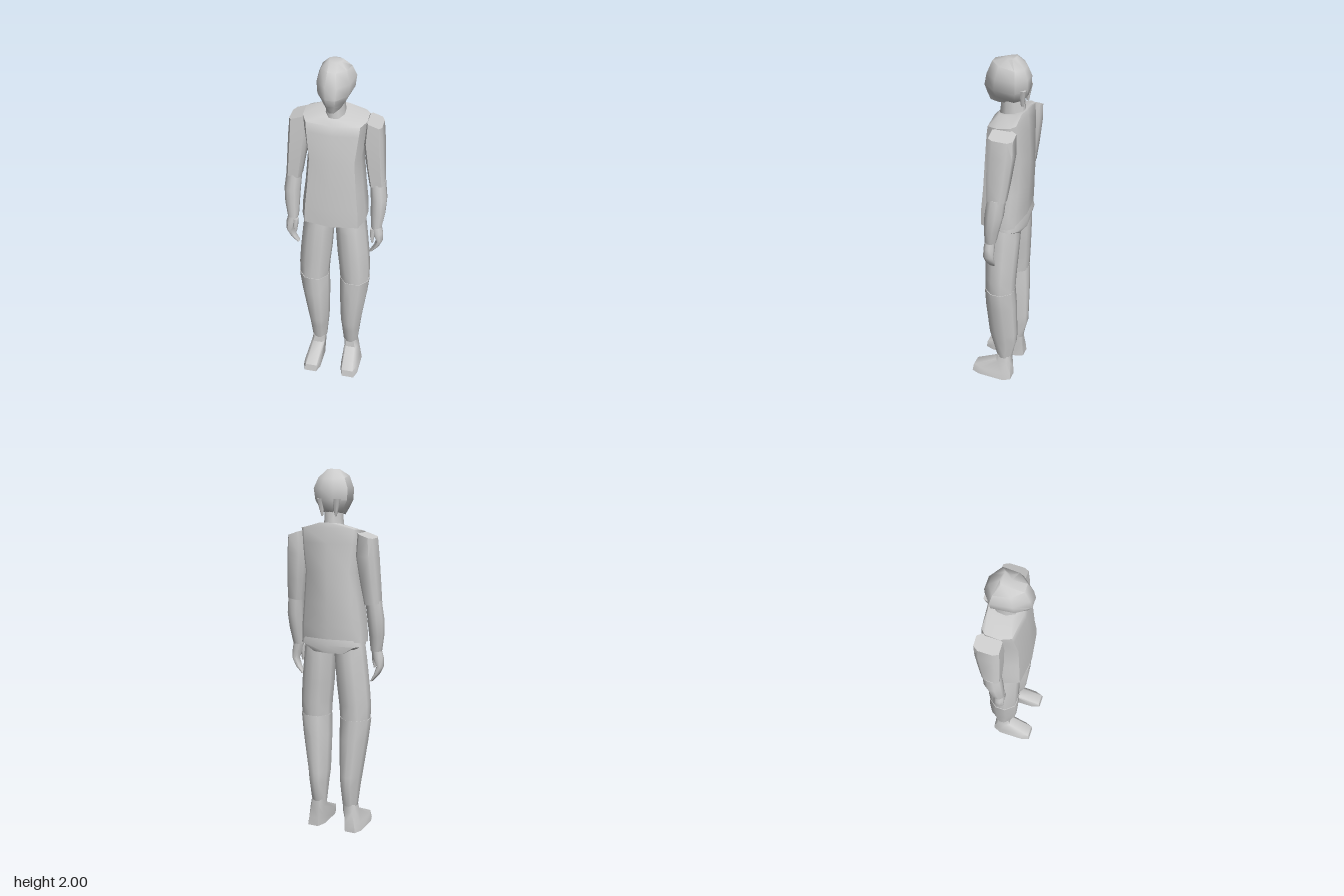
import * as THREE from 'three';
import { toCreasedNormals } from 'three/addons/utils/BufferGeometryUtils.js';

// Unit outlines [x, z], going round from +x towards +z
const LIMB = [[1, -0.35], [1, 0.35], [0.5, 0.95], [0, 1], [-0.5, 0.95], [-1, 0.35], [-1, -0.35], [-0.5, -0.95], [0, -1], [0.5, -0.95]];
const BLOCK = [[1, -0.6], [1, 0.6], [0.7, 1], [-0.7, 1], [-1, 0.6], [-1, -0.6], [-0.6, -1], [0.6, -1]];
const SKULL = [[1, -0.6], [0.87, 0.4], [0.3, 1], [-0.3, 1], [-0.87, 0.4], [-1, -0.6], [-0.35, -1], [0.35, -1]];
const TRUNK = [[1, -0.6], [1, 0.2], [0.84, 0.82], [0, 1], [-0.84, 0.82], [-1, 0.2], [-1, -0.6], [-0.85, -0.86], [0, -1], [0.85, -0.86]];

// Skin over rings listed from top to bottom: [y, xMin, xMax, zBack, zFront, tiltZ, tiltX]
function loft(outline, rings, side = 1) {
  const n = outline.length, pos = [], idx = [];
  const tri = (a, b, c) => (side > 0 ? idx.push(a, b, c) : idx.push(a, c, b));
  for (const [y, x0, x1, z0, z1, tz = 0, tx = 0] of rings) {
    for (const [u, v] of outline) {
      pos.push(side * ((x0 + x1) / 2 + u * (x1 - x0) / 2), y + tz * v + tx * u, (z0 + z1) / 2 + v * (z1 - z0) / 2);
    }
  }
  for (let i = 0; i < rings.length - 1; i++) {
    for (let j = 0; j < n; j++) {
      const a = i * n + j, b = i * n + (j + 1) % n;
      tri(a, b, a + n);
      tri(b, b + n, a + n);
    }
  }
  // end caps
  const last = (rings.length - 1) * n;
  for (let j = 1; j < n - 1; j++) {
    tri(0, j + 1, j);
    tri(last, last + j, last + j + 1);
  }
  const g = new THREE.BufferGeometry();
  g.setAttribute('position', new THREE.Float32BufferAttribute(pos, 3));
  g.setIndex(idx);
  return toCreasedNormals(g, 0.95);
}

export function createModel() {
  const model = new THREE.Group();
  model.name = 'figure';
  const grey = new THREE.MeshStandardMaterial({ color: 0xcccccc });
  grey.name = 'light grey';

  const add = (name, outline, rings, side = 1) => {
    const mesh = new THREE.Mesh(loft(outline, rings, side), grey);
    mesh.name = name;
    model.add(mesh);
  };
  // symmetric ring about x = 0
  const mid = (y, w, z0, z1, tz) => [y, -w, w, z0, z1, tz];

  // Head and neck
  add('head', SKULL, [
    mid(1.995, 0.035, -0.065, -0.015, -0.004),
    mid(1.96, 0.075, -0.115, 0.055, 0.01),
    mid(1.9, 0.097, -0.135, 0.083),
    mid(1.84, 0.09, -0.133, 0.095),
    mid(1.8, 0.068, -0.122, 0.083),
    mid(1.765, 0.042, -0.1, 0.068, -0.008),
  ]);
  add('neck', LIMB, [
    mid(1.82, 0.045, -0.105, 0.01),
    mid(1.74, 0.046, -0.11, 0.012),
    mid(1.66, 0.055, -0.12, 0.02),
  ]);

  // Torso with sloping shoulders, and the hips below its hem
  add('torso', TRUNK, [
    mid(1.712, 0.065, -0.125, 0.02, -0.015),
    mid(1.685, 0.168, -0.13, 0.05, -0.015),
    mid(1.62, 0.162, -0.137, 0.06),
    mid(1.47, 0.142, -0.145, 0.08),
    mid(1.3, 0.156, -0.142, 0.088),
    mid(1.18, 0.17, -0.136, 0.096),
    mid(1.09, 0.175, -0.132, 0.098, -0.012),
  ]);
  add('hips', TRUNK, [
    mid(1.11, 0.168, -0.13, 0.085, -0.012),
    mid(1.075, 0.172, -0.138, 0.075),
    mid(1.04, 0.1, -0.135, 0.05, 0.006),
  ]);

  for (const [label, s] of [['left', 1], ['right', -1]]) {
    // Nape hair points
    add(label + 'NapeHair', BLOCK, [
      [1.85, 0.02, 0.065, -0.132, -0.095],
      [1.76, 0.036, 0.042, -0.118, -0.105],
    ], s);

    // Arm
    add(label + 'UpperArm', BLOCK, [
      [1.666, 0.16, 0.242, -0.132, -0.003, 0, -0.014],
      [1.56, 0.15, 0.25, -0.13, 0.002],
      [1.42, 0.168, 0.259, -0.112, 0.003],
      [1.305, 0.188, 0.266, -0.094, 0, 0, 0.006],
    ], s);
    add(label + 'Forearm', LIMB, [
      [1.32, 0.188, 0.268, -0.094, 0],
      [1.22, 0.196, 0.28, -0.085, 0.012],
      [1.13, 0.2, 0.276, -0.062, 0.016],
      [1.045, 0.204, 0.262, -0.042, 0.016],
    ], s);
    add(label + 'Hand', LIMB, [
      [1.06, 0.207, 0.258, -0.038, 0.014],
      [1.01, 0.212, 0.27, -0.036, 0.02],
      [0.96, 0.236, 0.272, -0.036, 0.02],
      [0.915, 0.222, 0.25, -0.034, 0.014],
      [0.875, 0.2, 0.214, -0.026, 0.004],
    ], s);
    add(label + 'Thumb', BLOCK, [
      [1.035, 0.203, 0.23, -0.012, 0.016],
      [0.985, 0.205, 0.226, -0.008, 0.02],
      [0.948, 0.212, 0.222, -0.002, 0.016],
    ], s);

    // Leg
    add(label + 'Thigh', LIMB, [
      [1.075, 0.004, 0.165, -0.118, 0.05],
      [1.0, 0.01, 0.174, -0.12, 0.056],
      [0.85, 0.02, 0.19, -0.112, 0.056],
      [0.74, 0.032, 0.198, -0.106, 0.056],
      [0.655, 0.038, 0.196, -0.102, 0.055],
    ], s);
    add(label + 'Shin', LIMB, [
      [0.66, 0.036, 0.2, -0.103, 0.058],
      [0.54, 0.035, 0.186, -0.11, 0.056],
      [0.33, 0.04, 0.155, -0.113, 0.044],
      [0.27, 0.045, 0.148, -0.112, 0.03],
      [0.15, 0.055, 0.136, -0.084, 0],
    ], s);
    add(label + 'Foot', BLOCK, [
      [0.16, 0.06, 0.132, -0.083, 0],
      [0.118, 0.062, 0.14, -0.084, 0.004],
      [0.05, 0.063, 0.158, -0.09, 0.14],
      [0.004, 0.064, 0.166, -0.092, 0.146, 0.002],
    ], s);
  }

  // Rest exactly on the ground
  const box = new THREE.Box3().setFromObject(model);
  for (const part of model.children) part.position.y -= box.min.y;
  return model;
}
